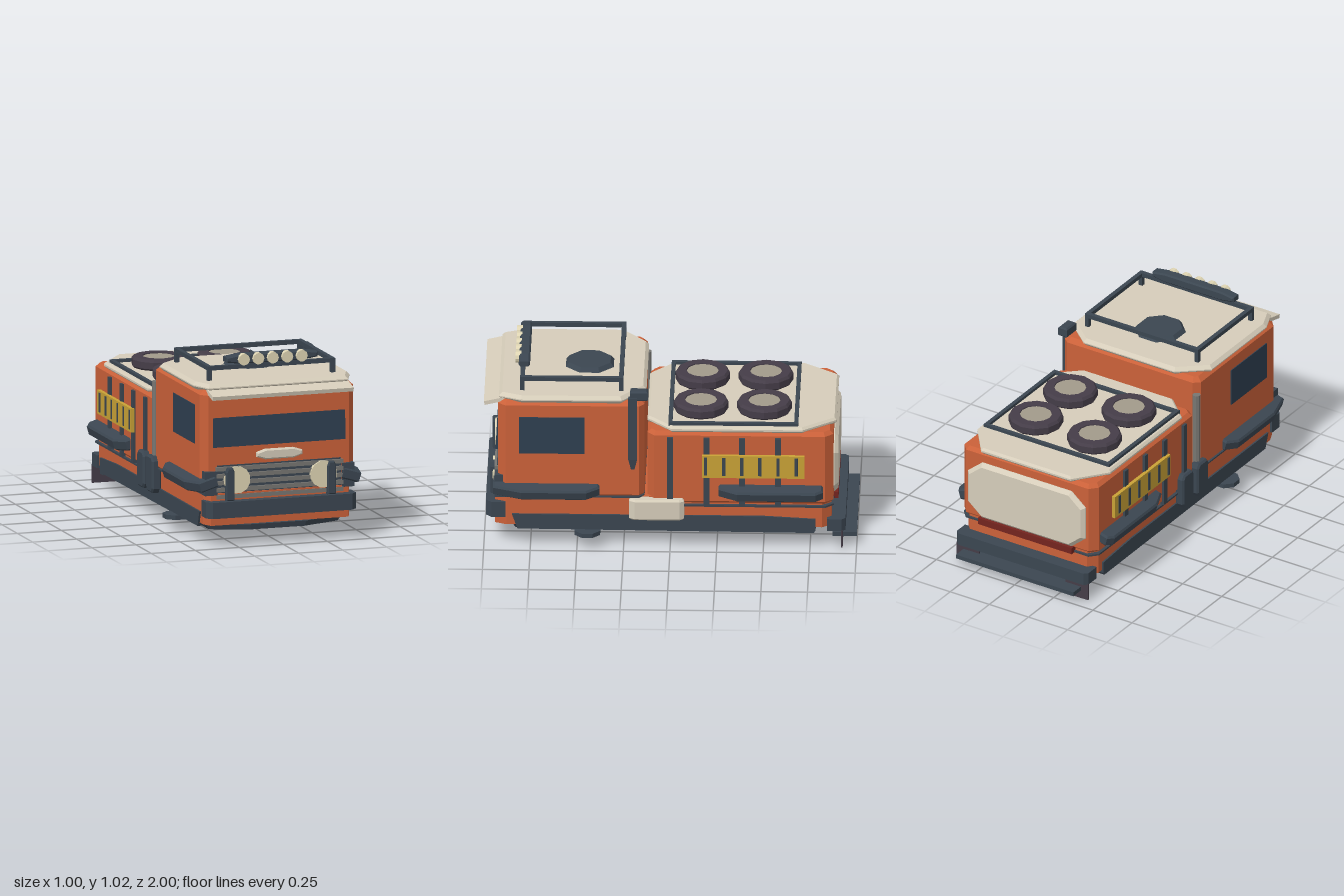
import * as THREE from 'three';

const mat = (color) => new THREE.MeshStandardMaterial({ color, flatShading: true });

export function createModel() {
  const model = new THREE.Group();
  const orange = mat(0xcb6139), cream = mat(0xd6cdba), dark = mat(0x3b4651), glass = mat(0x2e3f50);
  const yellow = mat(0xc9a236), tyre = mat(0x453d48), hub = mat(0xa29a8a), lamp = mat(0xe0d6b4);
  const grey = mat(0x777672), red = mat(0x74241f);

  const add = (name, geo, material, x = 0, y = 0, z = 0) => {
    const mesh = new THREE.Mesh(geo, material);
    mesh.name = name;
    mesh.position.set(x, y, z);
    model.add(mesh);
    return mesh;
  };
  // Box given by its limits on each axis
  const box = (name, material, x0, x1, y0, y1, z0, z1) =>
    add(name, new THREE.BoxGeometry(x1 - x0, y1 - y0, z1 - z0), material, (x0 + x1) / 2, (y0 + y1) / 2, (z0 + z1) / 2);
  // Bevelled extrusion of an outline, from 0 to h along z
  const plate = (pts, h, bevel) => {
    const shape = new THREE.Shape(pts.map(([x, y]) => new THREE.Vector2(x, y)));
    const geo = new THREE.ExtrudeGeometry(shape, {
      depth: h - 2 * bevel, bevelEnabled: bevel > 0, bevelThickness: bevel,
      bevelSize: bevel, bevelOffset: -bevel, bevelSegments: 1,
    });
    return geo.translate(0, 0, bevel);
  };
  // Plan outline (x, z) raised from y0 to y1
  const slab = (name, material, plan, y0, y1, bevel = 0) =>
    add(name, plate(plan.map(([x, z]) => [x, -z]).reverse(), y1 - y0, bevel).rotateX(-Math.PI / 2), material, 0, y0, 0);
  // Symmetrical eight-cornered plan, with separate back and front corner cuts
  const octPlan = (w, z0, z1, bx, bz, fx, fz) => [
    [-w + bx, z0], [w - bx, z0], [w, z0 + bz], [w, z1 - fz],
    [w - fx, z1], [-w + fx, z1], [-w, z1 - fz], [-w, z0 + bz],
  ];
  const octFace = (w, h, cx, cy) => [
    [-w + cx, -h], [w - cx, -h], [w, -h + cy], [w, h - cy],
    [w - cx, h], [-w + cx, h], [-w, h - cy], [-w, -h + cy],
  ];
  const disc = (name, material, r, h, sides, x, y, z) =>
    add(name, new THREE.CylinderGeometry(r, r, h, sides).rotateY(Math.PI / sides), material, x, y, z);

  // Hull and cabs
  slab('chassisBody', orange, octPlan(0.415, -0.865, 0.94, 0.04, 0.05, 0.025, 0.06), 0.115, 0.29);
  slab('cab', orange, octPlan(0.435, 0.138, 0.925, 0.035, 0.03, 0.035, 0.04), 0.28, 0.85, 0.025);
  slab('rearModule', orange, octPlan(0.43, -0.875, 0.122, 0.04, 0.045, 0.04, 0.035), 0.25, 0.675, 0.02);
  slab('cabSeam', dark, octPlan(0.437, 0.138, 0.925, 0.035, 0.03, 0.035, 0.04), 0.287, 0.295);
  slab('moduleSeam', dark, octPlan(0.432, -0.877, 0.122, 0.04, 0.045, 0.04, 0.035), 0.237, 0.247);
  slab('cabRoof', cream, octPlan(0.445, 0.13, 0.92, 0.155, 0.13, 0.05, 0.12), 0.84, 0.882, 0.018);
  slab('moduleRoof', cream, octPlan(0.425, -0.89, 0.125, 0.14, 0.18, 0.14, 0.13), 0.668, 0.702, 0.012);
  const visor = add('sunVisor', new THREE.BoxGeometry(0.8, 0.022, 0.13), cream, 0, 0.836, 0.935);
  visor.rotation.x = 0.23;

  // Windows and front trim
  const screen = box('windscreen', glass, -0.375, 0.375, 0.54, 0.7, 0.91, 0.934);
  screen.rotation.x = -0.06;
  add('frontBadgePanel', plate(octFace(0.13, 0.028, 0.05, 0.016), 0.03, 0.008), cream, 0, 0.487, 0.915);
  box('grilleBack', dark, -0.35, 0.35, 0.25, 0.44, 0.9, 0.932);
  for (let i = 0; i < 5; i++) {
    const y = 0.27 + i * 0.038;
    box('grilleSlat', grey, -0.36, 0.36, y - 0.011, y + 0.011, 0.91, 0.945);
  }
  slab('frontBumper', dark, octPlan(0.425, 0.885, 0.99, 0, 0, 0.03, 0.03), 0.162, 0.25);

  // Underside
  const skid = add('skidPlate', new THREE.CylinderGeometry(1, 0.94, 0.03, 8).rotateY(Math.PI / 8), dark, 0, 0.09, 0.775);
  skid.scale.set(0.42, 1, 0.155);

  // Rear
  add('rearPanel', plate(octFace(0.375, 0.17, 0.09, 0.075), 0.05, 0.02), cream, 0, 0.44, -0.9);
  box('rearLightBar', red, -0.3, 0.3, 0.235, 0.272, -0.9, -0.85);
  slab('rearBumper', dark, octPlan(0.42, -0.94, -0.84, 0.02, 0.02, 0, 0), 0.095, 0.165);
  box('rearStep', dark, -0.375, 0.375, 0.047, 0.07, -1, -0.87);

  // Parts repeated on both sides
  for (const s of [-1, 1]) {
    const sideBox = (name, material, x0, x1, ...rest) =>
      box(name, material, Math.min(s * x0, s * x1), Math.max(s * x0, s * x1), ...rest);
    sideBox('sideWindow', glass, 0.42, 0.44, 0.545, 0.757, 0.46, 0.81);

    // Side rail with raked lower ends
    const rail = plate([[-0.85, 0.18], [-0.82, 0.095], [0.77, 0.085], [0.78, 0.1], [0.78, 0.165], [0.5, 0.18]], 0.06, 0);
    add('sideRail', rail.rotateY(-Math.PI / 2).scale(1, 1, 1).rotateY(Math.PI), dark, s > 0 ? 0.365 : -0.425, 0, 0);

    // Tilted mudguards
    const guards = [
      ['frontMudguard', [[-0.07, 0.38], [0.03, 0.38], [0.07, 0.45], [0.07, 0.8], [0.03, 0.95], [-0.07, 0.95]]],
      ['rearMudguard', [[-0.07, -0.82], [0.045, -0.82], [0.07, -0.78], [0.07, -0.36], [0.03, -0.26], [-0.07, -0.26]]],
    ];
    for (const [name, plan] of guards) {
      const pts = plan.map(([x, z]) => [s * x, z]);
      const guard = slab(name, dark, s > 0 ? pts : pts.reverse(), -0.032, 0.032, 0.01);
      guard.position.set(s * 0.425, 0.337, 0);
      guard.rotation.z = -s * 0.29;
      guard.geometry.translate(0, -0.032, 0);
    }
    sideBox('mudguardCorner', dark, 0.355, 0.425, 0.28, 0.41, 0.86, 0.942);

    // Headlight and guard post
    const light = disc('headlight', lamp, 0.075, 0.06, 12, s * 0.245, 0.36, 0.925);
    light.rotation.x = Math.PI / 2;
    const post = plate([[-0.024, 0], [0.024, 0], [0.024, 0.155], [0.014, 0.18], [-0.014, 0.18], [-0.024, 0.155]], 0.06, 0.006);
    add('bumperPost', post, dark, s * 0.288, 0.25, 0.91);

    disc('sideFootplate', dark, 0.075, 0.024, 8, s * 0.415, 0.082, 0.445);
    sideBox('mudFlap', tyre, 0.275, 0.42, 0, 0.1, -0.925, -0.915);

    // Recovery board on vertical straps
    for (const z of [0, -0.195, -0.385, -0.578]) {
      sideBox('sideStrap', dark, 0.42, 0.444, 0.25, 0.645, z - 0.016, z + 0.016);
    }
    sideBox('recoveryBoard', yellow, 0.44, 0.46, 0.42, 0.55, -0.72, -0.17);
    for (let i = 0; i < 6; i++) {
      const z = -0.19 - i * 0.0972;
      sideBox('boardSlot', dark, 0.445, 0.464, 0.435, 0.54, z - 0.009, z + 0.009);
    }
  }

  // Rectangular roof rack, with posts at the corners when raised
  const rack = (name, w, z0, z1, y0, y1, t, foot) => {
    for (const s of [-1, 1]) {
      box(name + 'SideRail', dark, s * w - t / 2, s * w + t / 2, y0, y1, z0, z1);
      for (const z of [z0, z1]) {
        if (s > 0) box(name + 'CrossRail', dark, -w - t / 2, w + t / 2, y0, y1, z - t / 2, z + t / 2);
        if (foot < y0) box(name + 'Post', dark, s * w - t / 2, s * w + t / 2, foot, y0, z - t / 2, z + t / 2);
      }
    }
  };
  rack('cabRack', 0.35, 0.265, 0.795, 0.937, 0.96, 0.024, 0.87);
  rack('moduleRack', 0.39, -0.675, 0, 0.695, 0.718, 0.022, 0.695);

  // Spare wheels
  for (const x of [-0.187, 0.187]) for (const z of [-0.16, -0.5]) {
    const profile = [[0.085, 0], [0.135, 0], [0.147, 0.012], [0.147, 0.048], [0.135, 0.062], [0.088, 0.062], [0.085, 0.05], [0.085, 0]]
      .map(([r, y]) => new THREE.Vector2(r, y));
    add('spareTyre', new THREE.LatheGeometry(profile, 12), tyre, x, 0.7, z);
    disc('spareHub', hub, 0.09, 0.055, 10, x, 0.7285, z);
  }

  // Cab roof hatch and light bar
  add('roofHatch', new THREE.CylinderGeometry(0.12, 0.14, 0.024, 8).rotateY(Math.PI / 8), dark, 0, 0.893, 0.44);
  box('lightBarMount', dark, -0.16, 0.16, 0.955, 0.97, 0.775, 0.805);
  add('lightBar', plate(octFace(0.26, 0.026, 0.08, 0.012), 0.06, 0.008), dark, 0, 0.99, 0.757);
  for (let i = -2; i <= 2; i++) {
    const light = disc('roofLamp', lamp, 0.032, 0.03, 10, i * 0.082, 0.99, 0.82);
    light.rotation.x = Math.PI / 2;
  }

  // Left side: air intake and tool box
  box('intakePipe', dark, 0.425, 0.455, 0.52, 0.88, 0.178, 0.225);
  add('intakeFoot', new THREE.CylinderGeometry(0.033, 0.014, 0.06, 4, 1).rotateY(Math.PI / 4).scale(0.64, 1, 1), dark, 0.44, 0.49, 0.201);
  slab('intakeHead', dark, [[0.39, 0.12], [0.447, 0.12], [0.447, 0.215], [0.39, 0.215]], 0.86, 0.917, 0.008);
  slab('toolBox', cream, [[0.4, -0.075], [0.45, -0.075], [0.466, -0.05], [0.466, 0.19], [0.45, 0.22], [0.4, 0.22]], 0.165, 0.285, 0.01);

  // Right side: exhaust stack and fuel cans
  disc('exhaustStack', grey, 0.022, 0.46, 8, -0.425, 0.53, 0.14);
  for (const z of [0, 0.145]) {
    const can = plate(octFace(0.055, 0.1, 0.018, 0.025), 0.055, 0.01).rotateY(-Math.PI / 2);
    add('fuelCan', can, dark, -0.412, 0.255, z);
  }
  return model;
}
